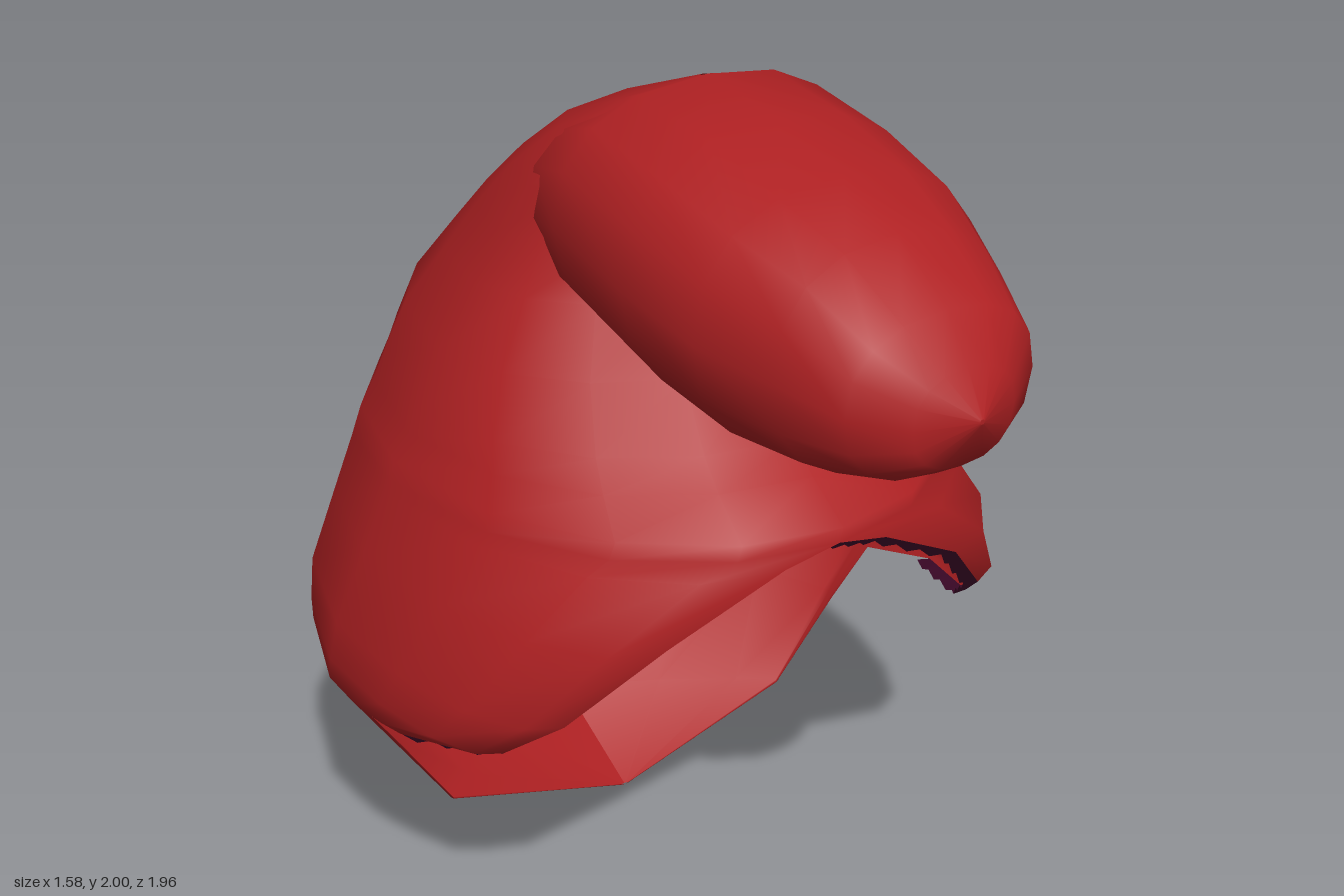
import * as THREE from 'three';

// One half of a surface from a grid of points, rows of equal length; side = 1 or -1
function halfSurface(rows, side) {
  const n = rows[0].length;
  const pos = [], index = [];
  for (const row of rows) for (const [x, y, z] of row) pos.push(x * side, y, z);
  for (let i = 0; i < rows.length - 1; i++) {
    for (let j = 0; j < n - 1; j++) {
      const a = i * n + j, b = a + 1, c = a + n, d = c + 1;
      if (side > 0) index.push(a, b, c, b, d, c);
      else index.push(a, c, b, b, c, d);
    }
  }
  const geo = new THREE.BufferGeometry();
  geo.setAttribute('position', new THREE.Float32BufferAttribute(pos, 3));
  geo.setIndex(index);
  geo.computeVertexNormals();
  // Smooth the centre seam on the upper part, leave it creased at the lower back
  const p = geo.attributes.position, nor = geo.attributes.normal;
  const v = new THREE.Vector3();
  for (let i = 0; i < p.count; i++) {
    if (Math.abs(p.getX(i)) < 1e-5 && p.getY(i) > 1.1) {
      v.set(0, nor.getY(i), nor.getZ(i)).normalize();
      nor.setXYZ(i, v.x, v.y, v.z);
    }
  }
  return geo;
}

function mirrored(name, rows, material) {
  const group = new THREE.Group();
  group.name = name;
  for (const side of [1, -1]) {
    const mesh = new THREE.Mesh(halfSurface(rows, side), material);
    mesh.name = name + (side > 0 ? 'Left' : 'Right');
    group.add(mesh);
  }
  return group;
}

// Level slices of the hood: y, front edge x and z, half width, z of widest point,
// back z, and how straight the back runs (1 = round, 2 = straight)
const SLICES = [
  [0, 0, -0.31, 0.01, -0.312, -0.315, 1],
  [0.14, 0.49, -0.32, 0.495, -0.33, -0.62, 1.8],
  [0.38, 0.64, -0.28, 0.65, -0.33, -0.89, 1.3],
  [0.52, 0.73, -0.25, 0.74, -0.34, -0.92, 1.1],
  [0.6, 0.735, 0, 0.788, -0.32, -0.94, 1],
  [0.66, 0.64, 0.25, 0.79, -0.3, -0.955, 1],
  [0.77, 0.56, 0.38, 0.78, -0.27, -0.975, 1],
  [0.96, 0.38, 0.5, 0.72, -0.22, -0.94, 1],
  [1.1, 0.13, 0.56, 0.665, -0.2, -0.925, 1],
  [1.13, 0, 0.57, 0.655, -0.2, -0.915, 1],
  [1.17, 0, 0.58, 0.64, -0.2, -0.905, 1],
  [1.24, 0, 0.47, 0.61, -0.18, -0.875, 1],
  [1.3, 0, 0.4, 0.59, -0.17, -0.85, 1],
  [1.43, 0, 0.29, 0.535, -0.16, -0.79, 1],
  [1.57, 0, 0.2, 0.455, -0.14, -0.65, 1],
  [1.68, 0, 0.15, 0.4, -0.12, -0.53, 1],
  [1.79, 0, 0.15, 0.355, -0.06, -0.39, 1],
  [1.89, 0, 0.15, 0.29, 0.02, -0.25, 1],
  [1.96, 0, 0.15, 0.2, 0.06, -0.05, 1],
  [1.995, 0, 0.07, 0.01, 0.06, 0.05, 1],
];

function hoodRows() {
  const front = [0, 20, 42, 65];
  const back = [90, 64, 41, 0];
  const rad = Math.PI / 180;
  return SLICES.map(([y, ex, ez, w, zw, zb, k]) => [
    ...front.map((t) => [ex + (w - ex) * Math.sin(t * rad), y, zw + (ez - zw) * Math.cos(t * rad)]),
    ...back.map((t) => [
      w * Math.pow(Math.sin(t * rad), k), y,
      zw + (zb - zw) * Math.pow(Math.cos(t * rad), k),
    ]),
  ]);
}

// Sections of the forelock, tip first: z, top y, bottom y, half width
const LOCK = [
  [0.98, 1.575, 1.565, 0.005],
  [0.93, 1.66, 1.46, 0.12],
  [0.86, 1.75, 1.415, 0.225],
  [0.71, 1.85, 1.37, 0.28],
  [0.54, 1.915, 1.37, 0.345],
  [0.32, 1.97, 1.4, 0.37],
  [0.07, 2.0, 1.47, 0.375],
  [-0.08, 1.945, 1.5, 0.355],
  [-0.25, 1.86, 1.53, 0.26],
  [-0.35, 1.75, 1.6, 0.05],
];

function lockRows() {
  const steps = 8;
  return LOCK.map(([z, top, bottom, w]) => {
    const row = [];
    for (let j = 0; j <= steps; j++) {
      const a = (j / steps) * Math.PI;
      const c = Math.cos(a);
      const x = j === 0 || j === steps ? 0 : w * Math.pow(Math.sin(a), 0.85);
      const y = (top + bottom) / 2 + ((top - bottom) / 2) * Math.sign(c) * Math.pow(Math.abs(c), 0.85);
      row.push([x, y, z]);
    }
    return row;
  });
}

// Ragged dark strip tucked under the edge of the face opening
function liningRows() {
  const edge = SLICES.slice(4, 10).map(([y, x, z]) => new THREE.Vector3(x, y, z));
  const rows = [];
  const n = 6;
  for (let k = 0; k < edge.length - 1; k++) {
    for (let i = 0; i < n + (k === edge.length - 2 ? 1 : 0); i++) {
      const p = edge[k].clone().lerp(edge[k + 1], i / n);
      const depth = rows.length % 2 ? 0.04 : 0.026;
      rows.push([
        [p.x, p.y - depth, p.z - 0.05],
        [p.x, p.y, p.z],
      ]);
    }
  }
  return rows;
}

export function createModel() {
  const red = new THREE.MeshStandardMaterial({ color: 0xae2022, side: THREE.DoubleSide });
  red.name = 'red';
  const plum = new THREE.MeshStandardMaterial({ color: 0x480c30, side: THREE.DoubleSide });
  plum.name = 'darkPlum';

  const model = new THREE.Group();
  model.name = 'hood';
  model.add(mirrored('hoodShell', hoodRows(), red));
  model.add(mirrored('forelock', lockRows(), red));
  model.add(mirrored('edgeLining', liningRows(), plum));
  return model;
}
